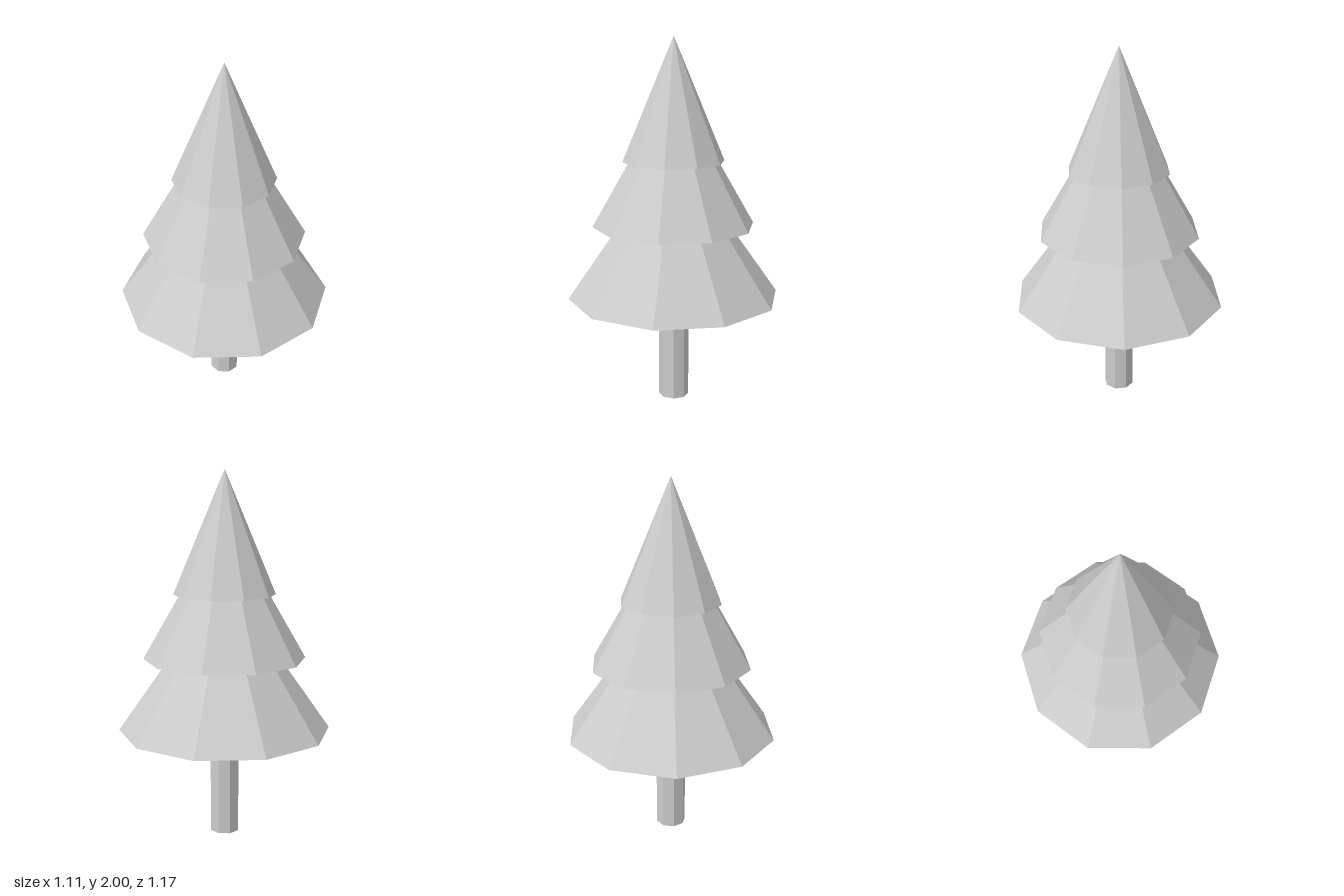
import * as THREE from 'three';

export function createModel() {
  const tree = new THREE.Group();
  tree.name = 'tree';
  const paleGrey = new THREE.MeshStandardMaterial({ color: 0xcccccc });
  paleGrey.name = 'paleGrey';

  // Faceted solid standing on the given base height
  const addPart = (name, geometry, base, height) => {
    const faceted = geometry.toNonIndexed();
    faceted.computeVertexNormals();
    const mesh = new THREE.Mesh(faceted, paleGrey);
    mesh.name = name;
    mesh.position.y = base + height / 2;
    tree.add(mesh);
  };

  // Octagonal trunk
  addPart('trunk', new THREE.CylinderGeometry(0.083, 0.083, 0.59, 8), 0, 0.59);

  // Ten-sided foliage cones, each tip hidden inside the tier above
  const tiers = [
    { name: 'lowerFoliage', radius: 0.583, base: 0.59, tip: 1.42 },
    { name: 'middleFoliage', radius: 0.443, base: 0.99, tip: 1.76 },
    { name: 'upperFoliage', radius: 0.277, base: 1.34, tip: 2 },
  ];
  for (const { name, radius, base, tip } of tiers) {
    addPart(name, new THREE.ConeGeometry(radius, tip - base, 10), base, tip - base);
  }
  return tree;
}
